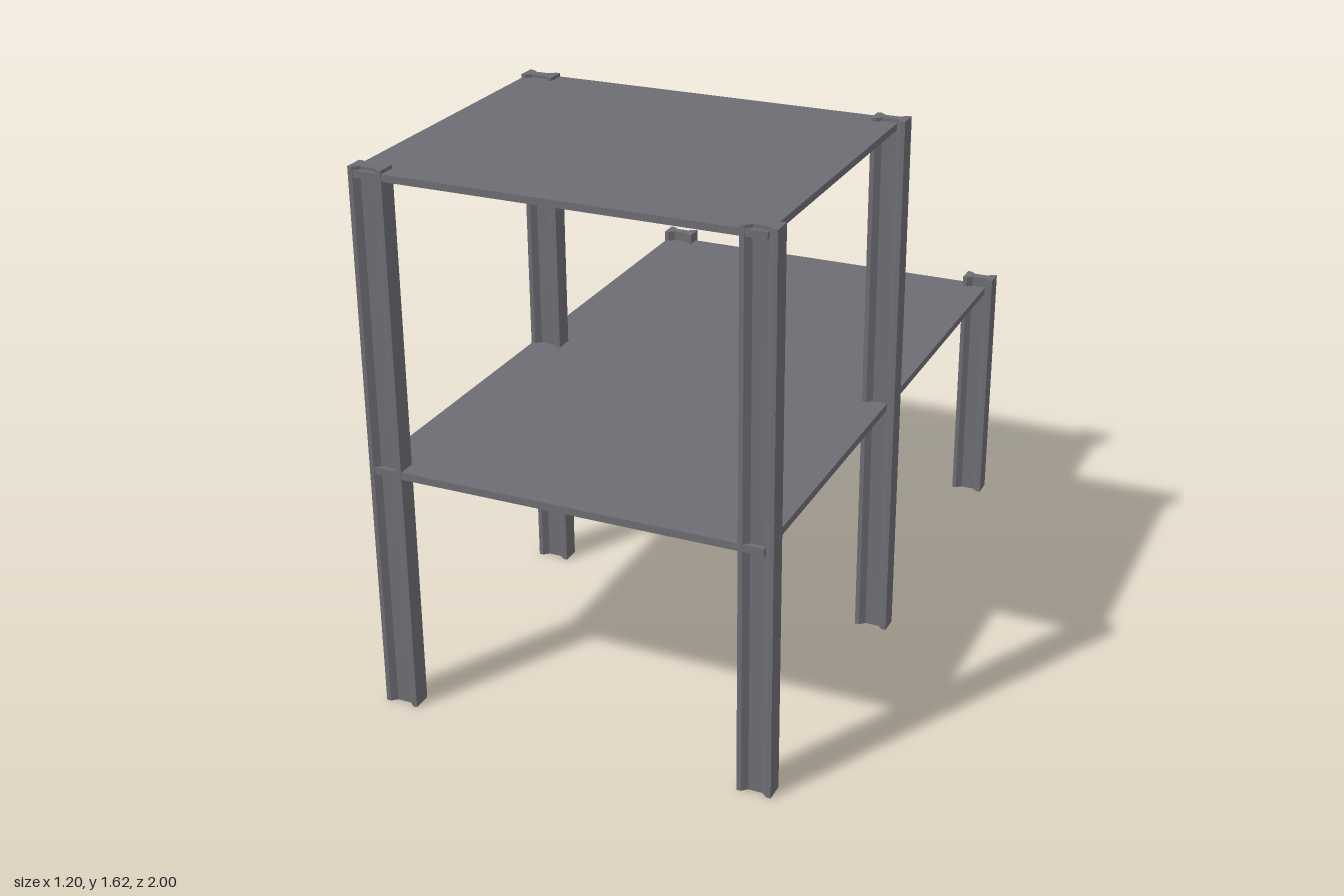
import * as THREE from 'three';

const grey = new THREE.MeshStandardMaterial({ color: 0x6d6c72 });
grey.name = 'steel grey';

// Beam section: two flanges tapering into a thinner web
function beamShape() {
  const half = [[-0.05, 0.0285], [-0.037, 0.0285], [-0.021, 0.014],
    [0.021, 0.014], [0.037, 0.0285], [0.05, 0.0285]];
  const mirrored = half.map(([x, y]) => [x, -y]).reverse();
  return new THREE.Shape([...half, ...mirrored].map(([x, y]) => new THREE.Vector2(x, y)));
}

function makePost(name, height, x, z) {
  const geometry = new THREE.ExtrudeGeometry(beamShape(), { depth: height, bevelEnabled: false });
  geometry.rotateX(-Math.PI / 2);
  const post = new THREE.Mesh(geometry, grey);
  post.name = name;
  post.position.set(x, 0, z);
  return post;
}

// Flat deck given by its extents
function makeDeck(name, y0, y1, z0, z1) {
  const x0 = -0.598, x1 = 0.573;
  const deck = new THREE.Mesh(new THREE.BoxGeometry(x1 - x0, y1 - y0, z1 - z0), grey);
  deck.name = name;
  deck.position.set((x0 + x1) / 2, (y0 + y1) / 2, (z0 + z1) / 2);
  return deck;
}

export function createModel() {
  const model = new THREE.Group();
  model.name = 'steppedPlatform';

  // Three rows of posts, the back row lower
  const rows = [['front', 1.625, 0.9715], ['middle', 1.625, 0.0305], ['back', 0.79, -0.9715]];
  for (const [row, height, z] of rows) {
    for (const [side, x] of [['Left', 0.55], ['Right', -0.55]]) {
      model.add(makePost(`${row}${side}Post`, height, x, z));
    }
  }

  // Long lower deck and short upper deck
  model.add(makeDeck('lowerDeck', 0.735, 0.757, -0.985, 0.9985));
  model.add(makeDeck('upperDeck', 1.595, 1.615, 0.003, 0.9985));
  return model;
}
